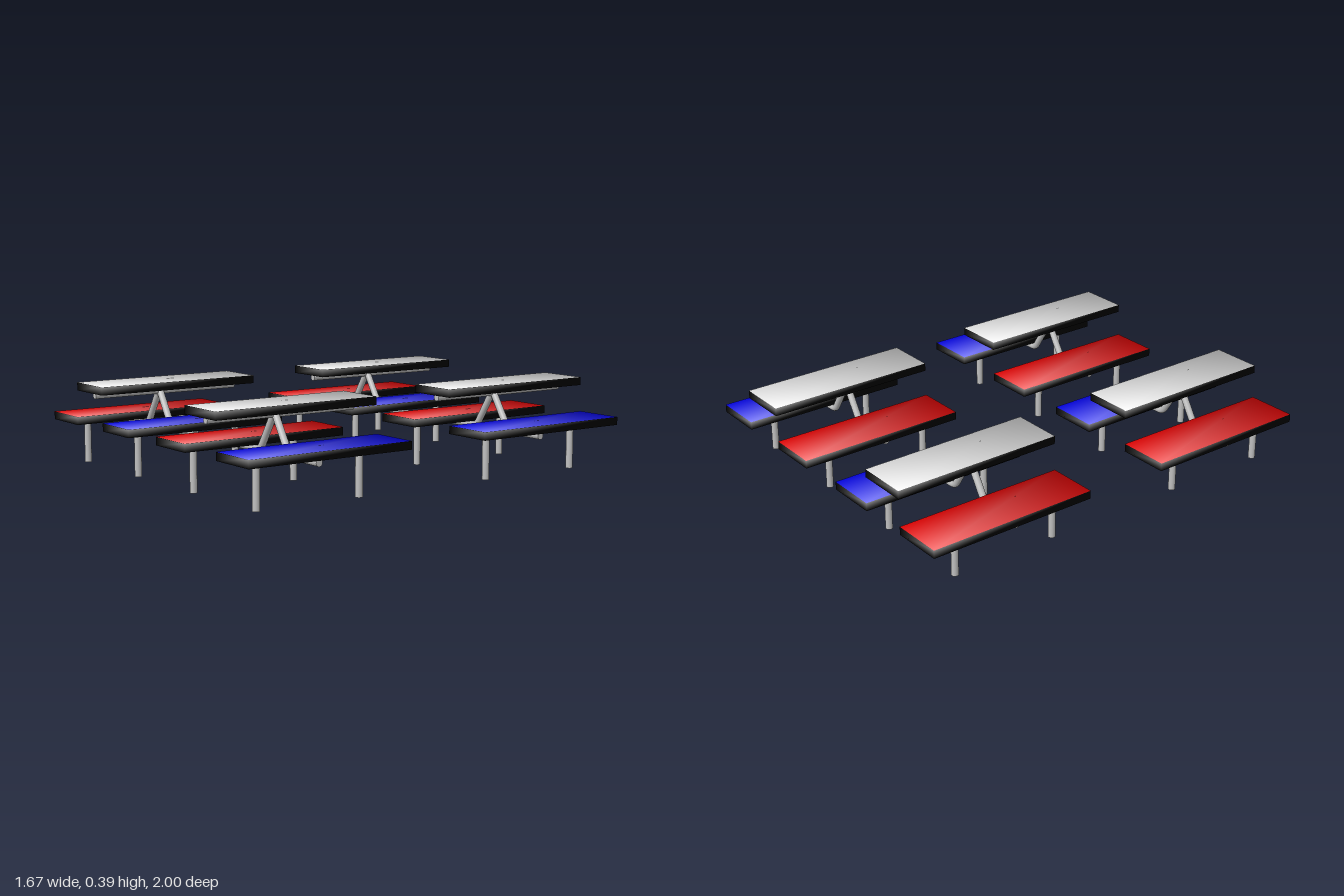
import * as THREE from 'three';

const paint = (name, color) => {
  const m = new THREE.MeshStandardMaterial({ color });
  m.name = name;
  return m;
};

const LENGTH = 0.8, WIDTH = 0.237, THICK = 0.037, PIPE = 0.016;

// Board running along z; normals lean out at the corners for soft shading
function boardGeometry() {
  const g = new THREE.BoxGeometry(LENGTH, THICK, WIDTH).rotateY(Math.PI / 2);
  const p = g.attributes.position, n = g.attributes.normal;
  const v = new THREE.Vector3();
  for (let i = 0; i < p.count; i++) {
    v.set(Math.sign(p.getX(i)), Math.sign(p.getY(i)), Math.sign(p.getZ(i))).normalize();
    n.setXYZ(i, v.x, v.y, v.z);
  }
  return g;
}

// Half of the bent frame: along under the bench, round the elbow, up to the table
function bracePath() {
  const end = new THREE.Vector3(0.32, 0.18, 0);
  const before = new THREE.Vector3(0.13, 0.18, 0);
  const elbow = new THREE.Vector3(0.107, 0.18, 0);
  const after = new THREE.Vector3(0.095, 0.2, 0);
  const apex = new THREE.Vector3(0, 0.35, 0);
  const path = new THREE.CurvePath();
  path.add(new THREE.LineCurve3(end, before));
  path.add(new THREE.QuadraticBezierCurve3(before, elbow, after));
  path.add(new THREE.LineCurve3(after, apex));
  return path;
}

export function createModel() {
  const red = paint('red', 0xff0000);
  const white = paint('white', 0xffffff);
  const blue = paint('blue', 0x0000ff);
  const black = paint('black edging', 0x000000);
  const metal = paint('grey metal', 0xc0c0c0);

  const boardGeo = boardGeometry();
  const legGeo = new THREE.CylinderGeometry(PIPE, PIPE, 0.2, 16);
  const railGeo = new THREE.CylinderGeometry(PIPE, PIPE, 0.735, 16).rotateX(Math.PI / 2);
  const braceGeo = new THREE.TubeGeometry(bracePath(), 40, PIPE, 16);
  const capGeo = new THREE.CircleGeometry(PIPE, 16).rotateY(Math.PI / 2);

  const add = (parent, name, geo, mat, x, y, z) => {
    const mesh = new THREE.Mesh(geo, mat);
    mesh.name = name;
    mesh.position.set(x, y, z);
    parent.add(mesh);
    return mesh;
  };
  // Coloured top face, black sides and underside
  const addBoard = (parent, name, top, x, y) =>
    add(parent, name, boardGeo, [black, black, top, black, black, black], x, y, 0);

  function picnicTable() {
    const table = new THREE.Group();
    table.name = 'picnicTable';

    addBoard(table, 'tableTop', white, 0, 0.375);
    addBoard(table, 'rightBench', red, -0.24, 0.215);
    addBoard(table, 'leftBench', blue, 0.24, 0.215);

    // Rail under the table top
    add(table, 'topRail', railGeo, metal, 0, 0.343, 0.007);

    // Bench legs
    for (const x of [-0.24, 0.24])
      for (const z of [-0.217, 0.29]) add(table, 'benchLeg', legGeo, metal, x, 0.1, z);

    // Bent frame joining benches to the table top
    for (const turn of [0, Math.PI]) {
      const half = new THREE.Group();
      half.name = 'bentFrameHalf';
      add(half, 'bentPipe', braceGeo, metal, 0, 0, 0);
      add(half, 'pipeCap', capGeo, metal, 0.32, 0.18, 0);
      half.rotation.y = turn;
      half.position.z = 0.04;
      table.add(half);
    }
    return table;
  }

  // Four tables in a two by two layout
  const model = new THREE.Group();
  model.name = 'picnicTables';
  for (const x of [-0.478, 0.478])
    for (const z of [-0.6, 0.6]) {
      const table = picnicTable();
      table.position.set(x, 0, z);
      model.add(table);
    }
  return model;
}
